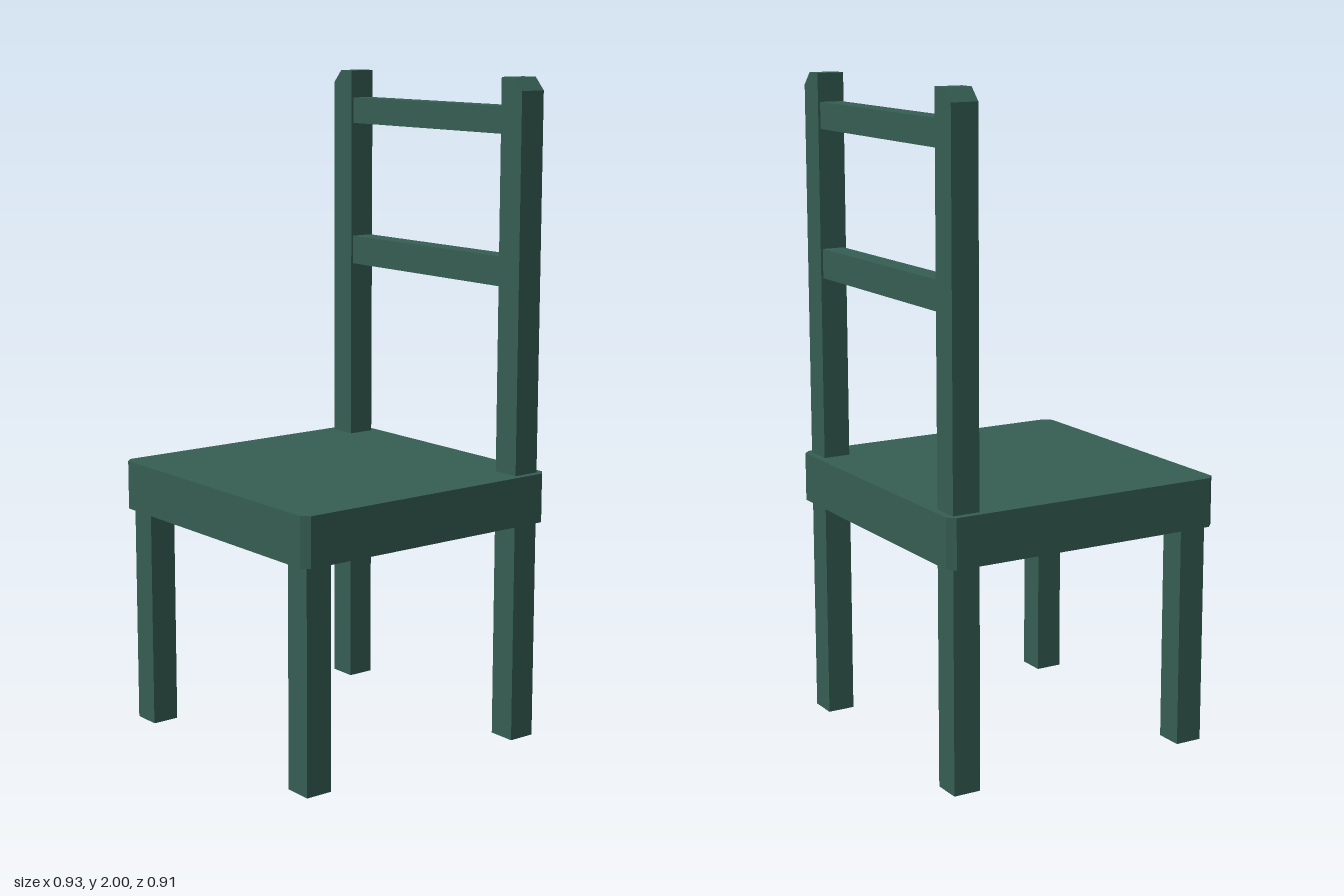
import * as THREE from 'three';

const paint = new THREE.MeshStandardMaterial({ color: 0x365e53 });
paint.name = 'dark green paint';

function polygon(points) {
  return new THREE.Shape(points.map(([x, y]) => new THREE.Vector2(x, y)));
}

function extrude(points, depth) {
  return new THREE.ExtrudeGeometry(polygon(points), { depth, bevelEnabled: false });
}

// Box given by its lower and upper corners
function box([x0, y0, z0], [x1, y1, z1]) {
  return new THREE.BoxGeometry(x1 - x0, y1 - y0, z1 - z0)
    .translate((x0 + x1) / 2, (y0 + y1) / 2, (z0 + z1) / 2);
}

export function createModel() {
  const chair = new THREE.Group();
  chair.name = 'chair';
  const add = (name, geometry) => {
    const mesh = new THREE.Mesh(geometry, paint);
    mesh.name = name;
    chair.add(mesh);
  };

  const inner = 0.353, outer = 0.441;
  const seatBottom = 0.677, seatTop = 0.827;

  // Seat slab with clipped corners
  const w = 0.463, d = 0.455, c = 0.022;
  const seat = extrude([
    [w - c, -d], [w, -d + c], [w, d - c], [w - c, d],
    [-w + c, d], [-w, d - c], [-w, -d + c], [-w + c, -d],
  ], seatTop - seatBottom);
  seat.rotateX(-Math.PI / 2).translate(0, seatBottom, 0);
  add('seat', seat);

  for (const side of [1, -1]) {
    const label = side > 0 ? 'left' : 'right';
    const x0 = side > 0 ? inner : -outer;
    const x1 = side > 0 ? outer : -inner;

    // Front leg
    add(label + 'FrontLeg', box([x0, 0, 0.347], [x1, seatBottom, 0.432]));

    // Back leg below the seat
    add(label + 'BackLeg', box([x0, 0, -0.432], [x1, seatBottom, -0.347]));

    // Back post above the seat, outer top edge cut at an angle
    const post = extrude([
      [side * inner, seatTop], [side * outer, seatTop], [side * outer, 1.962],
      [side * 0.406, 2], [side * inner, 2],
    ], 0.085);
    post.translate(0, 0, -0.432);
    add(label + 'BackPost', post);
  }

  // Back rails between the posts
  add('lowerRail', box([-inner, 1.386, -0.425], [inner, 1.475, -0.355]));
  add('upperRail', box([-inner, 1.835, -0.425], [inner, 1.915, -0.355]));

  return chair;
}
